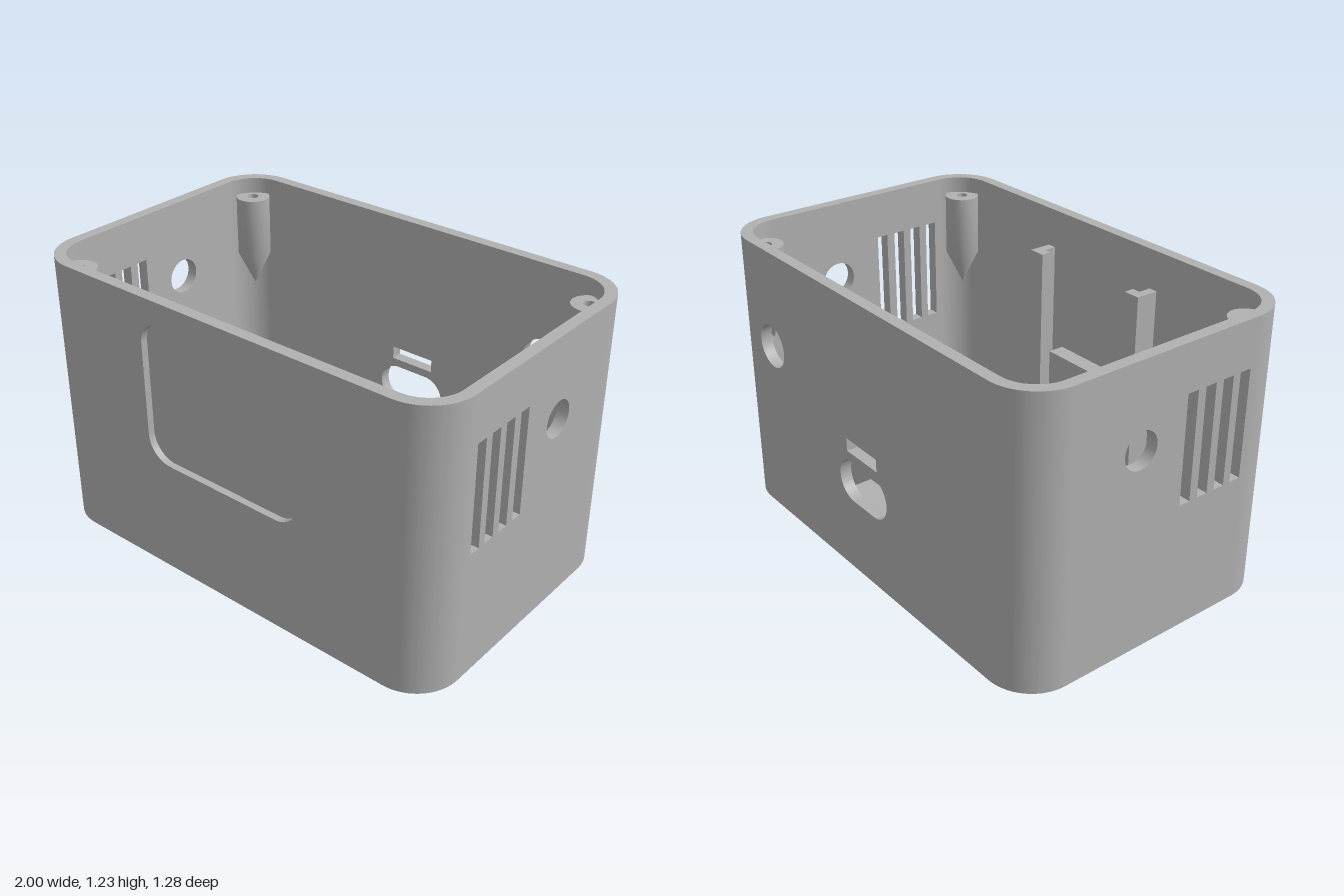
import * as THREE from 'three';
import { toCreasedNormals } from 'three/addons/utils/BufferGeometryUtils.js';

const W = 1, D = 0.64, H = 1.23;      // half width, half depth, height
const R = 0.2, T = 0.05;              // corner radius, wall thickness

// Rounded rectangle outline, centred on (cx, cy)
function roundRect(cx, cy, w, h, r, Type = THREE.Shape) {
  const p = new Type(), x = w / 2 - r, y = h / 2 - r;
  p.moveTo(cx + x + r, cy - y);
  p.absarc(cx + x, cy + y, r, 0, Math.PI / 2);
  p.absarc(cx - x, cy + y, r, Math.PI / 2, Math.PI);
  p.absarc(cx - x, cy - y, r, Math.PI, Math.PI * 1.5);
  p.absarc(cx + x, cy - y, r, Math.PI * 1.5, Math.PI * 2);
  p.closePath();
  return p;
}

function rect(x0, y0, x1, y1, Type = THREE.Shape) {
  return new Type([[x0, y0], [x1, y0], [x1, y1], [x0, y1]].map(([x, y]) => new THREE.Vector2(x, y)));
}

function circle(x, y, r) {
  const p = new THREE.Path();
  p.absarc(x, y, r, 0, Math.PI * 2);
  return p;
}

function extrude(shape, depth, holes = []) {
  shape.holes.push(...holes);
  const g = new THREE.ExtrudeGeometry(shape, { depth, bevelEnabled: false, curveSegments: 16 });
  return toCreasedNormals(g, 0.6);
}

export function createModel() {
  const model = new THREE.Group();
  model.name = 'enclosure';
  const grey = new THREE.MeshStandardMaterial({ color: 0xb0b0b0 });
  grey.name = 'grey plastic';

  function add(name, geometry, x = 0, y = 0, z = 0) {
    const mesh = new THREE.Mesh(geometry, grey);
    mesh.name = name;
    mesh.position.set(x, y, z);
    model.add(mesh);
    return mesh;
  }

  // Block given by its extents
  function block(name, x0, x1, y0, y1, z0, z1) {
    add(name, new THREE.BoxGeometry(x1 - x0, y1 - y0, z1 - z0),
      (x0 + x1) / 2, (y0 + y1) / 2, (z0 + z1) / 2);
  }

  // Rounded vertical corners
  const ring = new THREE.Shape();
  ring.absarc(0, 0, R, 0, Math.PI / 2, false);
  ring.absarc(0, 0, R - T, Math.PI / 2, 0, true);
  ring.closePath();
  const cornerGeo = extrude(ring, H).rotateX(-Math.PI / 2);
  [[1, -1], [-1, -1], [-1, 1], [1, 1]].forEach(([sx, sz], i) => {
    add('cornerWall', cornerGeo, sx * (W - R), 0, sz * (D - R)).rotation.y = i * Math.PI / 2;
  });

  // Front wall: pierced outer layer over a thin solid layer makes the screen recess
  const recess = 0.03;
  add('frontWallOuter', extrude(rect(-W + R, 0, W - R, H), recess,
    [roundRect(0, 0.823, 0.78, 0.624, 0.11, THREE.Path)]), 0, 0, D - recess);
  add('frontWallInner', extrude(rect(-W + R, 0, W - R, H), T - recess), 0, 0, D - T);

  // Back wall with round hole, plug opening and slot
  add('backWall', extrude(rect(-W + R, 0, W - R, H), T, [
    circle(0.655, 0.805, 0.095),
    roundRect(0, 0.426, 0.33, 0.186, 0.092, THREE.Path),
    rect(-0.105, 0.555, 0.105, 0.612, THREE.Path),
  ]), 0, 0, -D);

  // Side walls with vents and a round hole (shape x is -z)
  const vents = [0.385, 0.297, 0.208, 0.117].map(
    (z) => rect(-z - 0.026, 0.565, -z + 0.026, 1.027, THREE.Path));
  const sideGeo = extrude(rect(-D + R, 0, D - R, H), T,
    [...vents, circle(0.125, 0.875, 0.078)]).rotateY(Math.PI / 2);
  add('leftWall', sideGeo, W - T);
  add('rightWall', sideGeo, -W);

  // Floor: pierced lower layer gives the round foot recesses
  const inner = () => roundRect(0, 0, 2 * (W - T), 2 * (D - T), R - T);
  const feet = [[1, 1], [1, -1], [-1, 1], [-1, -1]].map(([a, b]) => circle(a * 0.79, b * 0.405, 0.105));
  add('floorLower', extrude(inner(), 0.03, feet).rotateX(-Math.PI / 2));
  add('floorUpper', extrude(inner(), 0.02).rotateX(-Math.PI / 2), 0, 0.03, 0);

  // Corner screw posts with conical lower ends and blind holes
  const profile = [[0, 0.73], [0.075, 0.885], [0.075, 1.16], [0.025, 1.16], [0.025, 0.92], [0, 0.92]]
    .map(([x, y]) => new THREE.Vector2(x, y));
  const postGeo = toCreasedNormals(new THREE.LatheGeometry(profile, 32), 0.6);

  for (const s of [1, -1]) {
    for (const z of [0.515, -0.515]) add('screwPost', postGeo, s * 0.875, 0, z);

    // Board support ribs standing on the floor
    const span = (a, b) => (s > 0 ? [a, b] : [-b, -a]);
    block('backRib', ...span(0.23, 0.612), T, 0.36, -0.41, -0.372);
    block('sideRib', ...span(0.846, 0.884), T, 0.36, -0.13, 0.38);

    // L-shaped screen guides behind the front wall
    const guide = new THREE.Shape([[0.335, -0.59], [0.335, -0.487], [0.258, -0.487],
      [0.258, -0.533], [0.295, -0.533], [0.295, -0.59]].map(([x, y]) => new THREE.Vector2(s * x, y)));
    add('screenGuide', extrude(guide, 1.06 - T).rotateX(-Math.PI / 2), 0, T, 0);
  }

  // Screen ledge at the front and plug support at the back
  block('screenLedge', -0.228, 0.228, T, 0.6, 0.515, D - T);
  block('plugSupport', -0.18, 0.18, T, 0.33, -D + T, -0.49);

  return model;
}
